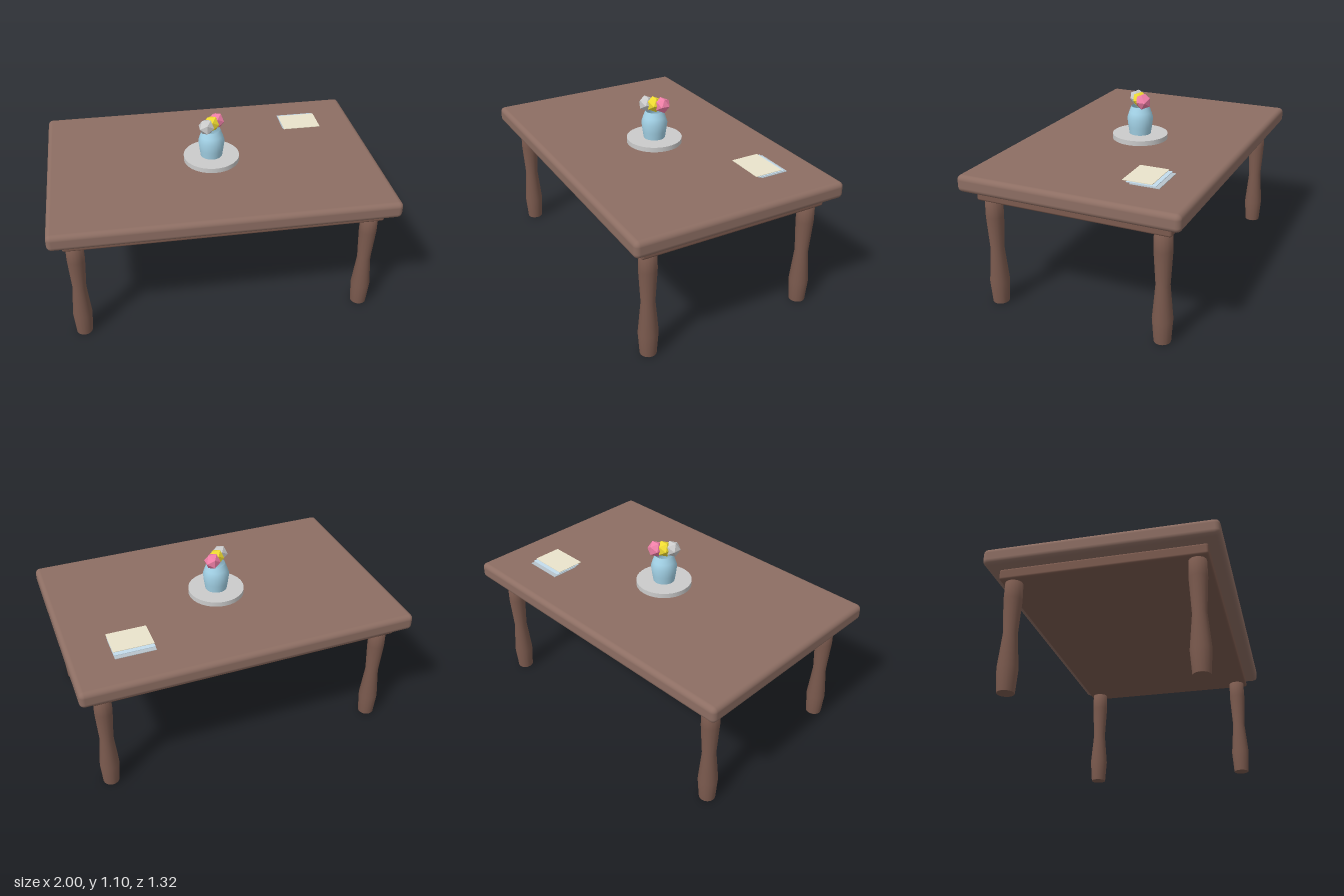
import * as THREE from 'three';
import { RoundedBoxGeometry } from 'three/addons/geometries/RoundedBoxGeometry.js';

const mat = (color, extra = {}) => {
  const m = new THREE.MeshStandardMaterial({ color, ...extra });
  return m;
};

export function createModel() {
  const group = new THREE.Group();
  const add = (name, geometry, material, x = 0, y = 0, z = 0) => {
    const mesh = new THREE.Mesh(geometry, material);
    mesh.name = name;
    mesh.position.set(x, y, z);
    group.add(mesh);
    return mesh;
  };
  const lathe = (points, segments) =>
    new THREE.LatheGeometry(points.map(([r, y]) => new THREE.Vector2(r, y)), segments);

  const topWood = mat(0x8d6e63);
  const darkWood = mat(0x7b5a4e);
  const grey = mat(0xcccccc);

  // Table top and the solid frame beneath it
  add('tableTop', new RoundedBoxGeometry(2, 0.1, 1.315, 4, 0.03), topWood, 0, 0.77, 0);
  add('apron', new RoundedBoxGeometry(1.85, 0.066, 1.165, 3, 0.013), darkWood, 0, 0.688, 0);

  // Four turned legs
  const legGeometry = lathe([
    [0, 0], [0.048, 0], [0.048, 0.001], [0.058, 0.14], [0.04, 0.345], [0.052, 0.55], [0.05, 0.66], [0, 0.66],
  ], 16);
  for (const [side, x] of [['left', 0.86], ['right', -0.86]]) {
    for (const [end, z] of [['Front', 0.515], ['Back', -0.515]]) {
      add(`${side}${end}Leg`, legGeometry, darkWood, x, 0, z);
    }
  }

  // Round tray with an open vase on it
  add('tray', new THREE.CylinderGeometry(0.17, 0.17, 0.03, 40), grey, 0, 0.835, 0);
  const vaseGeometry = lathe([
    [0.066, 0], [0.073, 0.045], [0.08, 0.1], [0.069, 0.135], [0.055, 0.173],
  ], 24);
  add('vase', vaseGeometry, mat(0xa5d5ea, { side: THREE.DoubleSide }), 0, 0.85, 0);

  // Faceted flowers in a diagonal row
  const flowerGeometry = new THREE.IcosahedronGeometry(0.05, 0);
  [[0xcccccc, -0.036], [0xf0dc32, 0], [0xf080a8, 0.036]].forEach(([color, d], i) => {
    add(`flower${i + 1}`, flowerGeometry, mat(color, { flatShading: true }), d, 1.062, -d);
  });

  // Three staggered sheets of paper
  const sheetGeometry = new THREE.BoxGeometry(0.237, 0.003, 0.213 - 0.04);
  [0xb8c4cc, 0xc4dcec, 0xeae4cc].forEach((color, i) => {
    add(`paperSheet${i + 1}`, sheetGeometry, mat(color), 0.633, 0.832 + i * 0.0085, -0.357 + i * 0.02);
  });

  return group;
}
